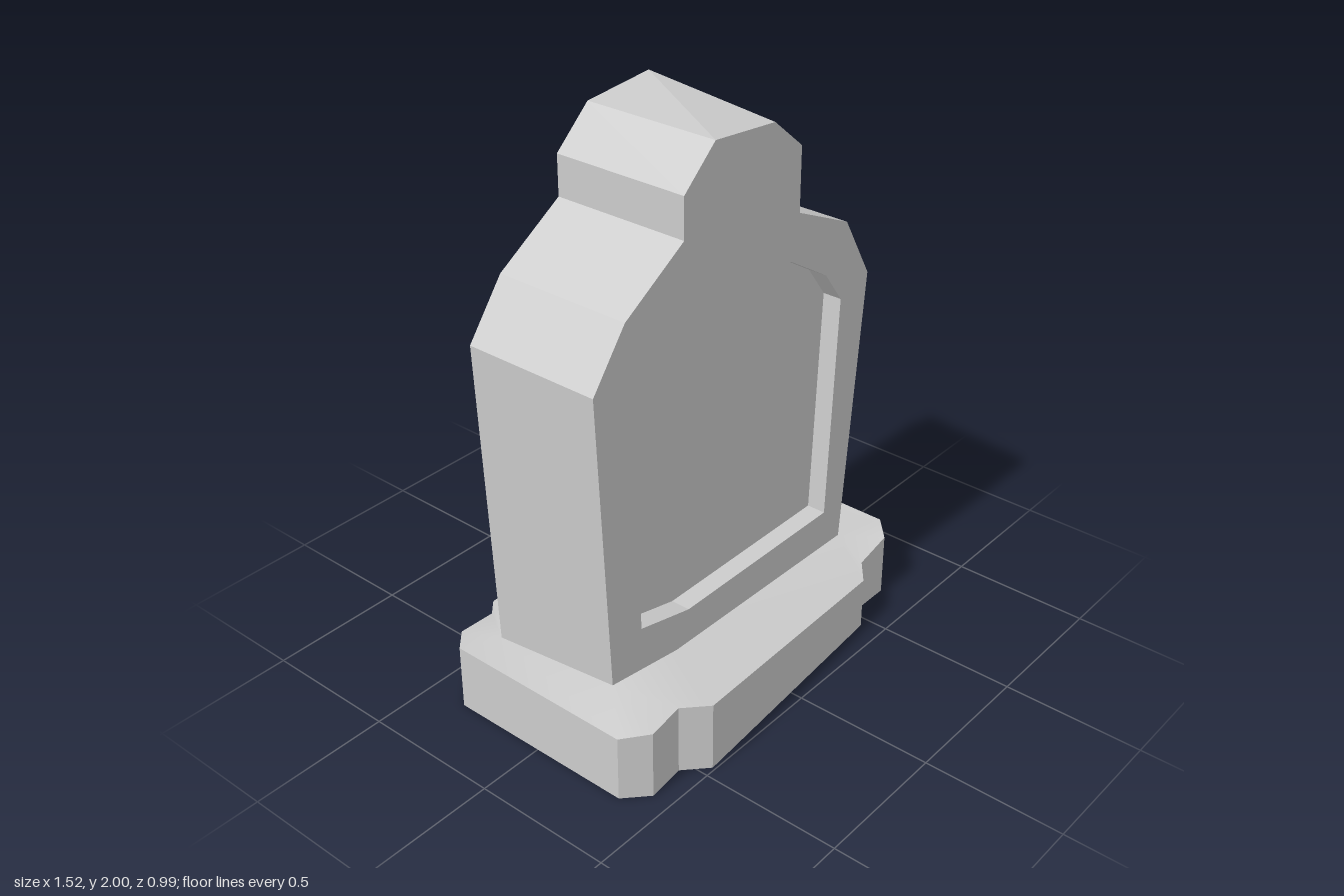
import * as THREE from 'three';

const V = (x, y, z) => new THREE.Vector3(x, y, z);

// Band of quads joining two matching closed loops
function wall(a, b) {
  const out = [];
  a.forEach((p, i) => {
    const j = (i + 1) % a.length;
    out.push(p, b[i], a[j], a[j], b[i], b[j]);
  });
  return out;
}

// Filled loop with optional holes, facing up the axis left over by the projection
function cap(loop, holes, project, flip = false) {
  const faces = THREE.ShapeUtils.triangulateShape(loop.map(project), holes.map(h => h.map(project)));
  const all = [loop, ...holes].flat();
  return faces.flatMap(([a, b, c]) => (flip ? [a, c, b] : [a, b, c]).map(i => all[i]));
}

function flatMesh(name, points, material) {
  const geometry = new THREE.BufferGeometry().setFromPoints(points);
  geometry.computeVertexNormals();
  const mesh = new THREE.Mesh(geometry, material);
  mesh.name = name;
  return mesh;
}

export function createModel() {
  const group = new THREE.Group();
  group.name = 'gravestone';
  const material = new THREE.MeshStandardMaterial({ color: 0xcccccc });
  const FRONT = 0.22, BACK = -0.28, RECESS = 0.07;
  const xy = p => new THREE.Vector2(p.x, p.y);
  const xz = p => new THREE.Vector2(p.x, -p.z);

  // Headstone outline: x, front y, back y, anticlockwise from the lower left
  const outline = [
    [-0.63, 0.30, 0.24], [-0.32, 0.255, 0.24], [0.58, 0.24, 0.24],
    [0.675, 1.26, 1.26], [0.54, 1.49, 1.49], [0.278, 1.61, 1.61],
    [0.278, 1.835, 1.885], [0.14, 1.95, 2.0], [-0.14, 1.977, 1.977],
    [-0.28, 1.85, 1.85], [-0.28, 1.71, 1.71], [-0.54, 1.547, 1.547], [-0.68, 1.36, 1.36],
  ];
  const front = outline.map(([x, y]) => V(x, y, FRONT));
  const back = outline.map(([x, , y]) => V(x, y, BACK));

  // Recessed panel outline, clockwise so its walls face inwards
  const panel = [
    [-0.49, 0.44], [-0.53, 1.32], [-0.44, 1.44], [-0.235, 1.565], [0.24, 1.455],
    [0.435, 1.335], [0.525, 1.215], [0.485, 0.385], [-0.26, 0.385],
  ];
  const rim = panel.map(([x, y]) => V(x, y, FRONT));
  const floor = panel.map(([x, y]) => V(x, y, FRONT - RECESS));

  group.add(flatMesh('headstone', [
    ...wall(front, back), ...cap(front, [rim], xy), ...cap(back, [], xy, true),
  ], material));
  group.add(flatMesh('recessedPanel', [
    ...wall(rim, floor), ...cap([...floor].reverse(), [], xy),
  ], material));

  // Plinth rim: x, y, z and the headstone corner that its top slopes up to
  const plinth = [
    [-0.76, 0.24, 0.355, 0], [-0.68, 0.25, 0.43, 0], [-0.54, 0.255, 0.415, 0], [-0.46, 0.255, 0.49, 1],
    [0.46, 0.195, 0.42, 2], [0.54, 0.20, 0.355, 2], [0.68, 0.235, 0.355, 2], [0.76, 0.24, 0.28, 2],
    [0.76, 0.24, -0.345, 3], [0.68, 0.225, -0.42, 3], [0.54, 0.22, -0.42, 3], [0.46, 0.19, -0.497, 3],
    [-0.46, 0.19, -0.497, 4], [-0.54, 0.22, -0.42, 4], [-0.68, 0.225, -0.42, 4], [-0.76, 0.24, -0.345, 4],
  ];
  const top = plinth.map(([x, y, z]) => V(x, y, z));
  const bottom = plinth.map(([x, , z]) => V(x, 0, z));
  group.add(flatMesh('plinthSides', [...wall(top, bottom), ...cap(bottom, [], xz, true)], material));

  // Smooth sloping plinth top, running from the rim to the foot of the headstone
  const foot = [front[0], front[1], front[2], back[2], back[0]];
  const index = [];
  plinth.forEach((p, i) => {
    const j = (i + 1) % plinth.length;
    const r = top.length + p[3], s = top.length + plinth[j][3];
    index.push(i, j, r);
    if (s !== r) index.push(j, s, r);
  });
  const slope = new THREE.BufferGeometry().setFromPoints([...top, ...foot]);
  slope.setIndex(index);
  slope.computeVertexNormals();
  const slopeMesh = new THREE.Mesh(slope, material);
  slopeMesh.name = 'plinthTop';
  group.add(slopeMesh);

  return group;
}
